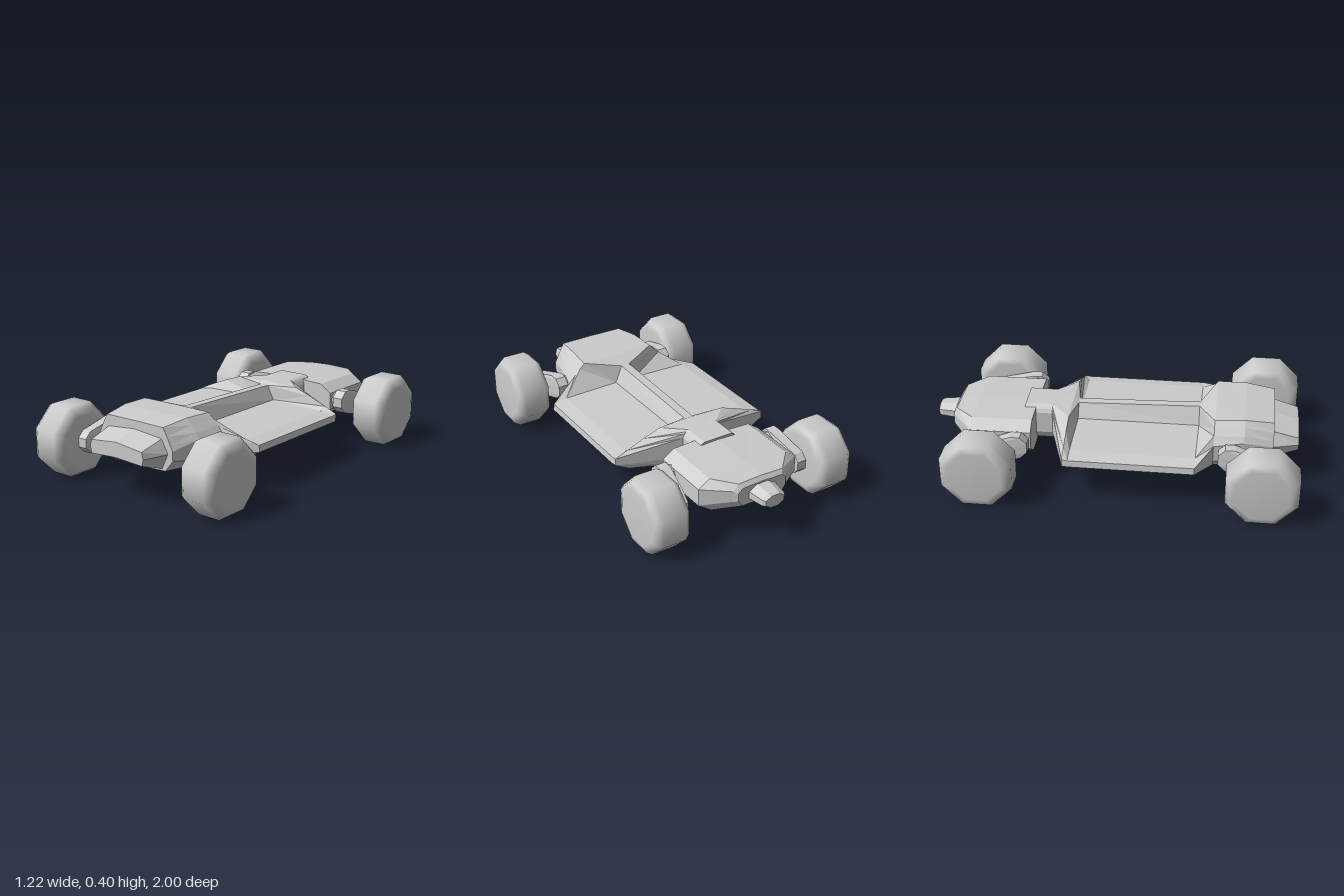
import * as THREE from 'three';
import { ConvexGeometry } from 'three/addons/geometries/ConvexGeometry.js';

const flat = new THREE.MeshStandardMaterial({ color: 0xcccccc, flatShading: true });
const smooth = new THREE.MeshStandardMaterial({ color: 0xcccccc });

function add(parent, name, geometry, material = flat) {
  const mesh = new THREE.Mesh(geometry, material);
  mesh.name = name;
  parent.add(mesh);
  return mesh;
}

// Skin mirrored half sections, listed front to back.
// Each section is { z, half: [[x, y], ...] } from top centre to bottom centre.
function loft(sections) {
  const rings = sections.map(({ z, half }) => [
    ...half.map(([x, y]) => [x, y, z]),
    ...half.slice(1, -1).reverse().map(([x, y]) => [-x, y, z]),
  ]);
  const n = rings[0].length;
  const last = (rings.length - 1) * n;
  const index = [];
  for (let i = 0; i < rings.length - 1; i++) {
    for (let j = 0; j < n; j++) {
      const a = i * n + j, b = i * n + ((j + 1) % n);
      index.push(a, b, b + n, a, b + n, a + n);
    }
  }
  for (let j = 1; j < n - 1; j++) {
    index.push(0, j + 1, j, last, last + j, last + j + 1);
  }
  const geo = new THREE.BufferGeometry();
  geo.setAttribute('position', new THREE.Float32BufferAttribute(rings.flat(2), 3));
  geo.setIndex(index);
  const out = geo.toNonIndexed();
  out.computeVertexNormals();
  return out;
}

// Eight points around a sideways axis
function octagon(x, y, z, r) {
  return Array.from({ length: 8 }, (_, i) => {
    const a = (i + 0.5) * Math.PI / 4;
    return new THREE.Vector3(x, y + r * Math.cos(a), z + r * Math.sin(a));
  });
}

function hullGeometry() {
  const pan = (z, top) => ({ z, half: [[0, top], [0.025, top], [0.065, 0.267], [0.39, 0.26],
    [0.47, 0.245], [0.475, 0.21], [0.39, 0.165], [0, 0.15]] });
  const neck = (z) => ({ z, half: [[0, 0.36], [0.085, 0.36], [0.1, 0.352], [0.11, 0.34],
    [0.12, 0.32], [0.12, 0.2], [0.1, 0.16], [0, 0.15]] });
  return loft([
    { z: 0.855, half: [[0, 0.385], [0.19, 0.383], [0.215, 0.34], [0.235, 0.3],
      [0.25, 0.27], [0.25, 0.22], [0.2, 0.16], [0, 0.153]] },
    { z: 0.7, half: [[0, 0.4], [0.21, 0.4], [0.24, 0.368], [0.27, 0.335],
      [0.29, 0.305], [0.29, 0.2], [0.24, 0.157], [0, 0.15]] },
    { z: 0.54, half: [[0, 0.397], [0.22, 0.395], [0.25, 0.365], [0.28, 0.335],
      [0.315, 0.29], [0.315, 0.2], [0.28, 0.157], [0, 0.15]] },
    pan(0.45, 0.365),
    pan(-0.215, 0.345),
    { z: -0.245, half: [[0, 0.36], [0.2, 0.355], [0.3, 0.32], [0.4, 0.28],
      [0.47, 0.25], [0.47, 0.21], [0.39, 0.165], [0, 0.15]] },
    neck(-0.35),
    neck(-0.5),
  ]);
}

function noseGeometry() {
  return loft([
    { z: 0.99, half: [[0, 0.305], [0.17, 0.287], [0.18, 0.25], [0.17, 0.215], [0, 0.225]] },
    { z: 0.85, half: [[0, 0.342], [0.18, 0.325], [0.22, 0.25], [0.18, 0.168], [0, 0.153]] },
  ]);
}

function rearBodyGeometry() {
  return loft([
    { z: -0.44, half: [[0, 0.35], [0.235, 0.34], [0.3, 0.295], [0.303, 0.2], [0.22, 0.14], [0, 0.15]] },
    { z: -0.77, half: [[0, 0.345], [0.235, 0.338], [0.3, 0.295], [0.3, 0.2], [0.22, 0.145], [0, 0.15]] },
    { z: -0.875, half: [[0, 0.335], [0.135, 0.33], [0.165, 0.295], [0.165, 0.235], [0.13, 0.195], [0, 0.195]] },
    { z: -0.893, half: [[0, 0.312], [0.12, 0.308], [0.145, 0.285], [0.145, 0.24], [0.12, 0.205], [0, 0.205]] },
  ]);
}

function nozzleGeometry() {
  const profile = [[0, 0], [0.088, 0], [0.072, 0.1], [0.06, 0.115], [0, 0.115]];
  return new THREE.LatheGeometry(profile.map(([r, h]) => new THREE.Vector2(r, h)), 8, Math.PI / 8)
    .rotateX(-Math.PI / 2).scale(1, 0.6, 1).translate(0, 0.255, -0.885);
}

// Eight-sided tyre with rounded shoulders
function wheelGeometry() {
  const profile = [[0, -0.105], [0.15, -0.104], [0.185, -0.092], [0.206, -0.062],
    [0.206, 0.062], [0.185, 0.092], [0.15, 0.104], [0, 0.105]];
  return new THREE.LatheGeometry(profile.map(([r, h]) => new THREE.Vector2(r, h)), 8, Math.PI / 8)
    .rotateZ(-Math.PI / 2);
}

export function createModel() {
  const model = new THREE.Group();
  model.name = 'buggyChassis';
  add(model, 'hull', hullGeometry());
  add(model, 'nose', noseGeometry());
  add(model, 'rearBody', rearBodyGeometry());
  add(model, 'tailNozzle', nozzleGeometry());

  // Wheels with their swing arms
  const wheel = wheelGeometry();
  const axles = [
    { name: 'front', wheelZ: 0.805, pivotZ: 0.63 },
    { name: 'rear', wheelZ: -0.685, pivotZ: -0.51 },
  ];
  for (const { name, wheelZ, pivotZ } of axles) {
    for (const [side, s] of [['Left', 1], ['Right', -1]]) {
      const corner = new THREE.Group();
      corner.name = `${name}${side}Suspension`;
      model.add(corner);
      add(corner, 'wheel', wheel, smooth).position.set(s * 0.503, 0.19, wheelZ);
      add(corner, 'swingArm', new ConvexGeometry([
        ...octagon(s * 0.315, 0.245, pivotZ, 0.068), ...octagon(s * 0.375, 0.245, pivotZ, 0.068),
        ...octagon(s * 0.342, 0.195, wheelZ, 0.064), ...octagon(s * 0.395, 0.195, wheelZ, 0.064),
      ]));
      const pin = (part, x, y, z, r, length) => add(corner, part,
        new THREE.CylinderGeometry(r, r, length, 8).rotateZ(Math.PI / 2)).position.set(s * x, y, z);
      pin('pivot', 0.3, 0.245, pivotZ, 0.055, 0.1);
      pin('axle', 0.39, 0.19, wheelZ, 0.05, 0.06);
    }
  }
  return model;
}
